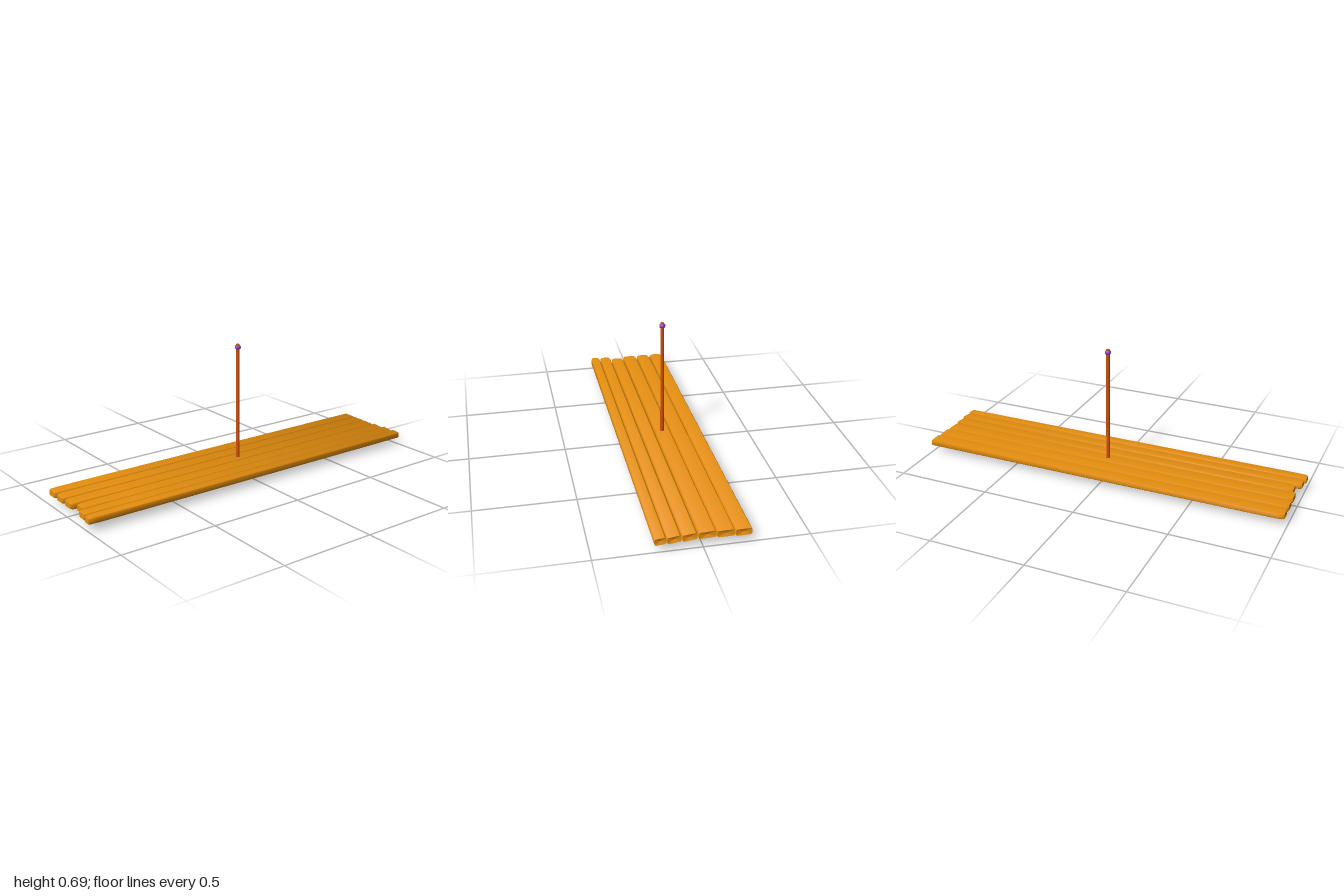
import * as THREE from 'three';

const wood = new THREE.MeshStandardMaterial({ name: 'orange wood', color: 0xe8900f });
const poleRed = new THREE.MeshStandardMaterial({ name: 'red-brown pole', color: 0xd2500c });
const purple = new THREE.MeshStandardMaterial({ name: 'purple bead', color: 0x9040cc });

// Chamfered rectangle, counterclockwise, centred on the origin
function crossSection(w, h) {
  const c = 0.006, x = w / 2, y = h / 2;
  return [[x, c - y], [x, y - c], [x - c, y], [c - x, y],
    [-x, y - c], [-x, c - y], [c - x, -y], [x - c, -y]];
}

// A plank lofted from its rolled back end to its rounded front end
function plankGeometry({ back, front, zBack, zFront, roll }) {
  const y0 = 0.0535, pos = [], index = [], n = 8;
  // z, blend from back to front, size in x, size in y
  const rings = [
    [zBack + 0.006, 0, 0.01, 0.01], [zBack, 0, 1, 1],       // back cap
    [zBack, 0, 1, 1], [zFront - 0.25, 0.7, 1, 1],           // body
    [zFront - 0.04, 1, 1, 1], [zFront - 0.012, 1, 0.92, 0.97],
    [zFront, 1, 0.72, 0.85],
    [zFront, 1, 0.72, 0.85], [zFront, 1, 0.01, 0.01],       // front cap
  ];
  rings.forEach(([z, t, sx, sy]) => {
    const l = THREE.MathUtils.lerp(back[0], front[0], t);
    const r = THREE.MathUtils.lerp(back[1], front[1], t);
    const a = roll * (1 - t);
    crossSection(r - l, 0.033).forEach(([x, y]) => {
      x *= sx; y *= sy;
      pos.push((l + r) / 2 + x * Math.cos(a) - y * Math.sin(a),
        y0 + x * Math.sin(a) + y * Math.cos(a), z);
    });
  });
  for (let i = 0; i < rings.length - 1; i++) {
    if (i === 1 || i === 6) continue; // crease between body and caps
    for (let j = 0; j < n; j++) {
      const k = (j + 1) % n, a = i * n, b = a + n;
      index.push(a + j, a + k, b + k, a + j, b + k, b + j);
    }
  }
  const geo = new THREE.BufferGeometry();
  geo.setAttribute('position', new THREE.Float32BufferAttribute(pos, 3));
  geo.setIndex(index);
  geo.computeVertexNormals();
  // Soften the shading over the back end
  const nor = geo.attributes.normal;
  for (let v = 2 * n; v < 3 * n; v++) nor.setZ(v, nor.getZ(v) - 0.5);
  geo.normalizeNormals();
  return geo;
}

export function createModel() {
  const model = new THREE.Group();
  model.name = 'plankRaft';

  // Deck: six uneven planks, running front to back
  const deck = new THREE.Group();
  deck.name = 'deck';
  const planks = [
    { back: [-0.224, -0.148], front: [-0.22, -0.145], zBack: -1.0, zFront: 0.985, roll: 0 },
    { back: [-0.145, -0.064], front: [-0.14, -0.062], zBack: -0.995, zFront: 0.985, roll: 0 },
    { back: [-0.061, 0.019], front: [-0.057, 0.023], zBack: -0.99, zFront: 0.985, roll: -0.04 },
    { back: [0.026, 0.094], front: [0.028, 0.1], zBack: -0.993, zFront: 0.965, roll: -0.12 },
    { back: [0.1, 0.164], front: [0.104, 0.167], zBack: -0.998, zFront: 0.993, roll: -0.13 },
    { back: [0.168, 0.222], front: [0.17, 0.222], zBack: -1.0, zFront: 1.0, roll: -0.1 },
  ];
  planks.forEach((p, i) => {
    const mesh = new THREE.Mesh(plankGeometry(p), wood);
    mesh.name = `plank${i + 1}`;
    deck.add(mesh);
  });
  model.add(deck);

  // Mast: pole through the deck with a bead near each end
  const mast = new THREE.Group();
  mast.name = 'mast';
  mast.position.set(-0.018, 0, -0.023);
  const pole = new THREE.Mesh(new THREE.CylinderGeometry(0.01, 0.01, 0.685, 12), poleRed);
  pole.name = 'pole';
  pole.position.y = 0.3425;
  mast.add(pole);
  const profile = [[0.009, -0.0105], [0.012, -0.009], [0.0155, -0.004],
    [0.0155, 0.004], [0.012, 0.009], [0.009, 0.0105]].map(([x, y]) => new THREE.Vector2(x, y));
  const beadGeometry = new THREE.LatheGeometry(profile, 16);
  for (const [name, y] of [['lowerBead', 0.018], ['upperBead', 0.669]]) {
    const bead = new THREE.Mesh(beadGeometry, purple);
    bead.name = name;
    bead.position.y = y;
    mast.add(bead);
  }
  model.add(mast);
  return model;
}
